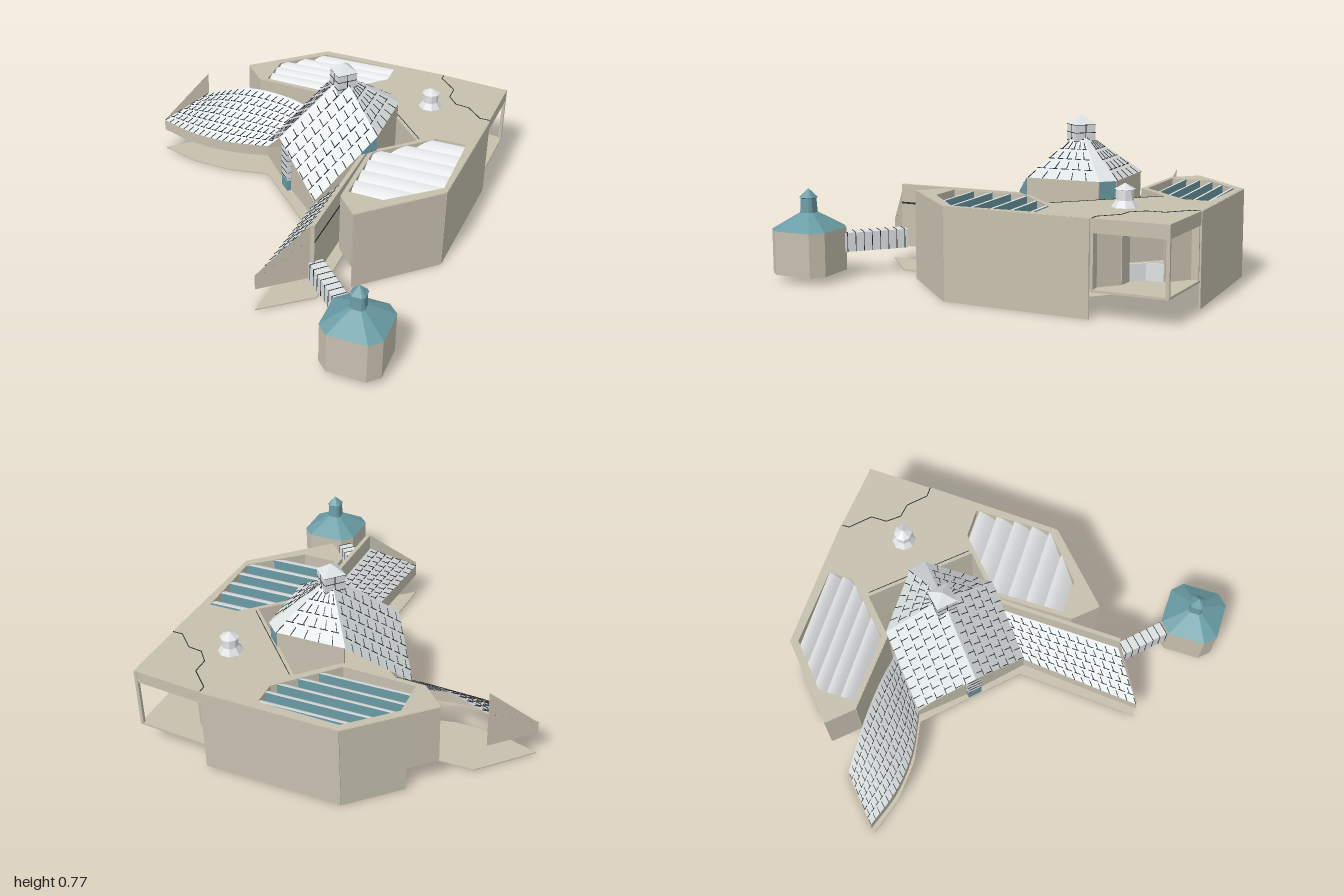
import * as THREE from 'three';
import { mergeGeometries } from 'three/addons/utils/BufferGeometryUtils.js';

const V = (x, y, z) => new THREE.Vector3(x, y, z);
const paint = (name, color) => {
  const m = new THREE.MeshStandardMaterial({ color, side: THREE.DoubleSide });
  m.name = name;
  return m;
};

export function createModel() {
  const model = new THREE.Group();
  const stone = paint('warm stone', 0xc6c0ae);
  const tile = paint('pale roof tile', 0xdce1e1);
  const teal = paint('teal copper and glass', 0x6a9ca5);
  const white = paint('white skylight', 0xdfe1e3);
  const dark = paint('dark joint', 0x2b2d2e);

  const add = (name, geo, mat) => {
    const mesh = new THREE.Mesh(geo, mat);
    mesh.name = name;
    model.add(mesh);
    return mesh;
  };

  // Horizontal slab from [x, z] points
  const slab = (name, pts, y0, y1, mat, holes = []) => {
    const flip = (list) => list.map(([x, z]) => new THREE.Vector2(x, -z));
    const shape = new THREE.Shape(flip(pts));
    holes.forEach((h) => shape.holes.push(new THREE.Path(flip(h))));
    const geo = new THREE.ExtrudeGeometry(shape, { depth: y1 - y0, bevelEnabled: false });
    return add(name, geo.rotateX(-Math.PI / 2).translate(0, y0, 0), mat);
  };

  // Bar between two points
  const bar = (a, b, w, h) => {
    const o = new THREE.Object3D();
    o.position.copy(a).lerp(b, 0.5);
    o.lookAt(b);
    o.updateMatrix();
    return new THREE.BoxGeometry(w, h, a.distanceTo(b)).applyMatrix4(o.matrix);
  };
  const wall = (name, a, b, y0, y1, mat = stone, t = 0.012) => {
    const y = (y0 + y1) / 2;
    return add(name, bar(V(a[0], y, a[1]), V(b[0], y, b[1]), t, y1 - y0), mat);
  };

  // Flat convex face
  const face = (name, pts, mat) => {
    const pos = [];
    for (let i = 1; i < pts.length - 1; i++) [pts[0], pts[i], pts[i + 1]].forEach((p) => pos.push(p.x, p.y, p.z));
    const geo = new THREE.BufferGeometry();
    geo.setAttribute('position', new THREE.Float32BufferAttribute(pos, 3));
    geo.computeVertexNormals();
    return add(name, geo, mat);
  };

  // Surface ruled between two curves
  const ruled = (name, f, g, n, mat) => {
    const pos = [], idx = [];
    for (let i = 0; i <= n; i++) [f(i / n), g(i / n)].forEach((p) => pos.push(p.x, p.y, p.z));
    for (let i = 0; i < n; i++) idx.push(2 * i, 2 * i + 2, 2 * i + 1, 2 * i + 1, 2 * i + 2, 2 * i + 3);
    const geo = new THREE.BufferGeometry();
    geo.setAttribute('position', new THREE.Float32BufferAttribute(pos, 3));
    geo.setIndex(idx);
    geo.computeVertexNormals();
    return add(name, geo, mat);
  };
  const line = (a, b) => (u) => a.clone().lerp(b, u);
  const spline = (pts) => {
    const c = new THREE.CatmullRomCurve3(pts);
    return (u) => c.getPoint(u);
  };

  // Staggered, broken tile joints over a ruled patch
  const joints = (name, f, g, rows, cols) => {
    const at = (u, v) => f(u).lerp(g(u), v).add(V(0, 0.001, 0));
    const parts = [];
    for (let r = 0; r < rows; r++) {
      for (let c = 0; c < cols; c++) {
        const u = (c + (r % 2 ? 0.5 : 0.1)) / cols, v = r / rows, top = v + 0.7 / rows;
        if (r) parts.push(bar(at(c / cols, v), at((c + 0.7) / cols, v), 0.003, 0.003));
        if (at(u, v).distanceTo(at(u, top)) > 0.01) parts.push(bar(at(u, v), at(u, top), 0.003, 0.003));
      }
    }
    add(name, mergeGeometries(parts), dark);
  };

  // Eight-sided rings joined vertically: [half, y]; cut is the flat share of a side
  const ring = (cx, cz, h, y, cut) => {
    const k = h * cut;
    return [[-k, -h], [k, -h], [h, -k], [h, k], [k, h], [-k, h], [-h, k], [-h, -k]].map(([x, z]) => V(cx + x, y, cz + z));
  };
  const rings = (name, cx, cz, profile, mat, cut) => {
    for (let i = 0; i < profile.length - 1; i++) {
      const a = ring(cx, cz, ...profile[i], cut), b = ring(cx, cz, ...profile[i + 1], cut);
      for (let k = 0; k < 8; k++) face(name, [a[k], b[k], b[(k + 1) % 8], a[(k + 1) % 8]], mat);
    }
  };

  // Main building: roof with two skylight wells, raised floor
  const outline = [[-0.5, -0.69], [-0.16, -0.995], [0.51, -0.98], [0.86, -0.95], [0.85, -0.61], [0.82, 0.07], [0.48, 0.39],
    [0.38, 0.28], [0.38, -0.13], [0.57, -0.3], [0.18, -0.72], [0.01, -0.555], [-0.39, -0.575]];
  const wells = [
    [[-0.354, -0.592], [-0.354, -0.776], [-0.148, -0.96], [0.243, -0.945], [0.243, -0.825], [0, -0.58]],
    [[0.65, -0.353], [0.8, -0.353], [0.8, 0.04], [0.57, 0.237], [0.398, 0.232], [0.398, -0.12]],
  ];
  slab('mainRoof', outline, 0.36, 0.42, stone, wells);
  slab('raisedFloor', outline, 0.115, 0.125, stone);
  slab('hallFloor', [[0.25, -0.64], [0.57, -0.3], [0.39, -0.13], [0.18, 0.08], [-0.22, -0.32], [0.01, -0.55], [0.17, -0.56]], 0.115, 0.124, stone);

  // Outer walls; some stop above the ground
  const notch = [-0.385, -0.793];
  [[outline[0], notch, 0.12], [notch, outline[1], 0], [outline[1], outline[2], 0], [outline[4], outline[5], 0],
    [outline[5], outline[6], 0], [outline[6], outline[7], 0.12], [outline[7], outline[8], 0.12], [outline[8], outline[9], 0.12],
    [outline[9], outline[10], 0.12], [outline[10], outline[11], 0.12], [outline[11], outline[12], 0.12], [outline[12], outline[0], 0.12],
  ].forEach(([a, b, y]) => wall('outerWall', a, b, y, 0.419, stone, 0.008));

  // Corner terrace: post, stepped inner wall, rail and roof joint
  wall('terracePost', [0.845, -0.945], [0.86, -0.945], 0.12, 0.42, stone, 0.016);
  const step = [[0.51, -0.975], [0.51, -0.94], [0.6, -0.85], [0.6, -0.77], [0.65, -0.71], [0.72, -0.7], [0.8, -0.62], [0.85, -0.62]];
  step.slice(1).forEach((b, i) => {
    const a = step[i];
    wall('roofJoint', a, b, 0.419, 0.422, dark, 0.004);
    if (i === 2 || i === 3) wall('terraceRail', a, b, 0.12, 0.2, white, 0.008);
    else wall('terraceWall', a, b, 0.12, 0.37);
  });
  wall('roofJoint', [0.2, -0.72], [0.57, -0.32], 0.419, 0.422, dark, 0.003);

  // Curved sawtooth skylights
  const span = (poly, z) => {
    const xs = [];
    poly.forEach(([x1, z1], i) => {
      const [x2, z2] = poly[(i + 1) % poly.length];
      if ((z1 <= z) !== (z2 <= z)) xs.push(x1 + (x2 - x1) * (z - z1) / (z2 - z1));
    });
    return [Math.min(...xs), Math.max(...xs)];
  };
  wells.forEach((poly, w) => {
    const zs = poly.map((p) => p[1]);
    const z0 = Math.min(...zs) + 0.016, z1 = Math.max(...zs) - 0.013, n = w ? 6 : 5, p = (z1 - z0) / n;
    slab('skylightTray', poly, 0.35, 0.36, stone);
    for (let i = 0; i < n; i++) {
      const za = z0 + i * p;
      const side = (s) => (u) => V(span(poly, za + u * p)[s], 0.362 + 0.056 * Math.cos(u * Math.PI / 2), za + u * p);
      ruled('skylightShell', side(0), side(1), 8, white);
      const [a, b] = span(poly, za);
      face('skylightGlass', [V(a, 0.36, za), V(a, 0.418, za), V(b, 0.418, za), V(b, 0.36, za)], teal);
    }
  });

  // Octagonal roof vent
  rings('roofVent', 0.53, -0.65, [[0.055, 0.42], [0.036, 0.45], [0.034, 0.495], [0.042, 0.497], [0.002, 0.522]], white, 0.414);

  // Ground plate under the hall and both wings
  slab('groundPlate', [[-0.86, -0.35], [-0.66, -0.29], [-0.45, -0.28], [-0.24, -0.32], [0.17, 0.09], [0.13, 0.715], [0.36, 0.53],
    [0.37, -0.12], [0.54, -0.29], [0.54, -0.46], [0.32, -0.68], [0.24, -0.63], [0.17, -0.56], [-0.63, -0.57]], 0, 0.006, stone);

  // Hall roof: hipped, its front corner a prow over the entrance
  const apex = V(0.17, 0.7, -0.31), prow = V(-0.07, 0.42, -0.07);
  const backL = V(0, 0.5, -0.55), lowL = V(-0.24, 0.216, -0.32);
  const backR = V(0.41, 0.5, -0.14), lowR = V(0.18, 0.216, 0.1);
  const cutA = V(0.41, 0.5, -0.49), cutB = V(0.35, 0.5, -0.55);
  [[apex, backL, lowL, prow], [apex, prow, lowR, backR], [apex, backR, cutA], [apex, cutA, cutB], [apex, cutB, backL]]
    .forEach((pts) => face('hallRoof', pts, tile));
  joints('hallTileJoints', line(lowL, backL), line(prow, apex), 6, 8);
  joints('hallTileJoints', line(lowR, backR), line(prow, apex), 6, 8);
  joints('hallTileJoints', line(backR, cutA), line(apex, apex), 5, 5);
  joints('hallTileJoints', line(cutB, backL), line(apex, apex), 5, 5);

  // Hall walls, glazed chamfers and entrance gable
  wall('hallWall', [0.4, -0.14], [0.4, -0.485], 0.12, 0.498);
  wall('hallGlass', [0.4, -0.485], [0.345, -0.54], 0.12, 0.498, teal);
  wall('hallWall', [0.345, -0.54], [0.01, -0.54], 0.12, 0.498);
  const side = (name, a, b, mat) => face(name, [a, b, V(b.x, 0.12, b.z), V(a.x, 0.12, a.z)], mat);
  side('hallSideWall', V(-0.04, 0.34, -0.51), V(-0.24, 0.18, -0.32), stone);
  const sideR = line(backR, lowR);
  side('hallSideGlass', sideR(0), sideR(0.25), teal);
  side('hallSideWall', sideR(0.25), sideR(1), stone);
  side('entranceGable', V(-0.05, 0.34, -0.115), V(-0.24, 0.18, -0.32), stone);
  side('entranceGable', V(-0.05, 0.41, -0.115), lowR, stone);
  const jamb = [[-0.068, -0.117], [-0.018, -0.067]];
  wall('entranceWindow', ...jamb, 0.18, 0.4, tile, 0.02);
  wall('entranceDoor', ...jamb, 0.12, 0.18, teal, 0.02);
  for (let i = 0; i < 6; i++) wall('windowBar', ...jamb, 0.19 + i * 0.035, 0.193 + i * 0.035, dark, 0.024);

  // Square chimney turned on the diagonal, with a pointed cap
  const faceted = (name, r0, r1, y0, y1) => {
    const geo = new THREE.CylinderGeometry(r1, r0, y1 - y0, 4).toNonIndexed();
    geo.computeVertexNormals();
    add(name, geo.translate(0.17, (y0 + y1) / 2, -0.31), tile);
  };
  faceted('chimney', 0.07, 0.07, 0.57, 0.728);
  faceted('chimneyCap', 0.074, 0.002, 0.728, 0.771);
  const c = [[0.17, -0.24], [0.24, -0.31], [0.17, -0.38], [0.1, -0.31]];
  c.forEach((a, i) => {
    const b = c[(i + 1) % 4];
    [0.65, 0.689, 0.725].forEach((y) => wall('chimneyJoint', a, b, y, y + 0.003, dark, 0.003));
    const mx = (a[0] + b[0]) / 2, mz = (a[1] + b[1]) / 2;
    wall('chimneyJoint', [mx - 0.0015, mz], [mx + 0.0015, mz], 0.6, 0.727, dark, 0.004);
  });

  // Curved wing: swept shed roof, low fascia, end parapet
  const eave = spline([V(-0.86, 0.18, -0.35), V(-0.66, 0.18, -0.29), V(-0.45, 0.18, -0.28), V(-0.24, 0.18, -0.32)]);
  const ridge = spline([V(-0.67, 0.3, -0.52), V(-0.45, 0.38, -0.52), V(-0.22, 0.38, -0.515), V(-0.04, 0.34, -0.5)]);
  ruled('curvedWingRoof', eave, ridge, 20, tile);
  joints('curvedWingJoints', eave, ridge, 7, 18);
  ruled('curvedWingFascia', eave, (u) => eave(u).setY(0.12), 20, stone);
  face('curvedWingEnd', [V(-0.86, 0.12, -0.35), V(-0.86, 0.18, -0.35), V(-0.67, 0.42, -0.52), V(-0.67, 0.12, -0.52)], stone);

  // Straight wing: shed roof against a tall wall, end parapet
  const low = line(V(0.13, 0.18, 0.71), V(0.18, 0.2, 0.1)), high = line(V(0.33, 0.34, 0.54), V(0.35, 0.34, -0.1));
  ruled('straightWingRoof', low, high, 4, tile);
  joints('straightWingJoints', low, high, 6, 13);
  ruled('straightWingFascia', low, (u) => low(u).setY(0.12), 1, stone);
  face('straightWingEnd', [V(0.13, 0.12, 0.71), V(0.13, 0.2, 0.71), V(0.33, 0.42, 0.54), V(0.33, 0.12, 0.54)], stone);
  wall('straightWingWall', [0.34, 0.54], [0.36, -0.12], 0.12, 0.42, stone, 0.02);
  wall('straightWingSeam', [0.341, 0.54], [0.361, -0.12], 0.327, 0.335, dark, 0.022);

  // Bridge to the tower
  wall('bridge', [0.35, 0.52], [0.58, 0.75], 0.12, 0.21, tile, 0.07);
  for (let i = 0; i < 8; i++) {
    const d = 0.012 + i * 0.028, x = 0.35 + d, z = 0.52 + d;
    wall('bridgePost', [x - 0.026, z + 0.026], [x + 0.026, z - 0.026], 0.12, 0.212, dark, 0.003);
  }

  // Detached tower with copper roof and lantern
  slab('towerBody', ring(0.67, 0.855, 0.143, 0, 0.64).map((p) => [p.x, p.z]), 0.035, 0.24, stone);
  rings('towerRoof', 0.67, 0.855, [[0.145, 0.24], [0.034, 0.315], [0.03, 0.38], [0.036, 0.385], [0.002, 0.425]], teal, 0.64);

  return model;
}
